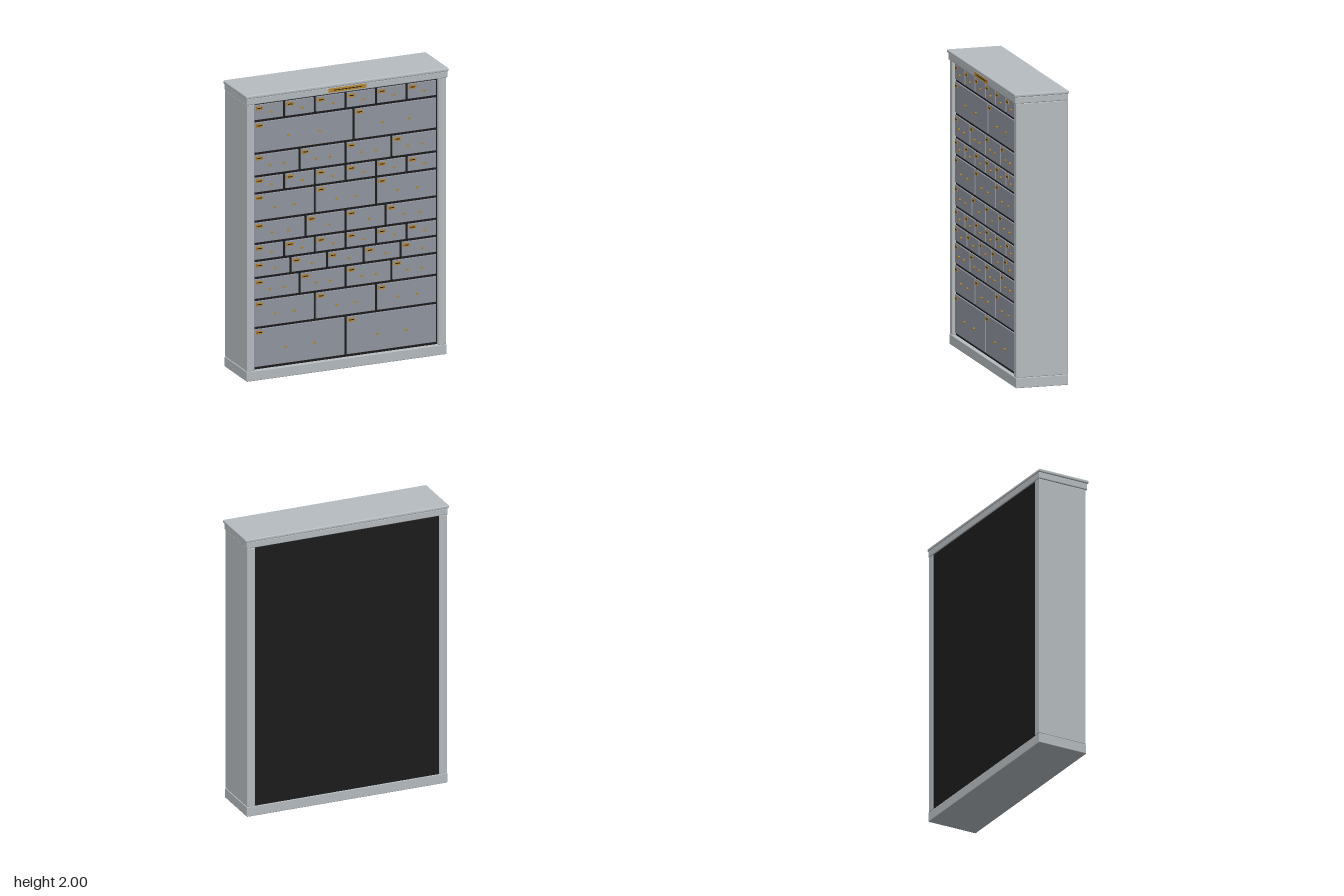
import * as THREE from 'three';
import { RoundedBoxGeometry } from 'three/addons/geometries/RoundedBoxGeometry.js';

const paint = (name, color) => {
  const m = new THREE.MeshStandardMaterial({ color });
  m.name = name;
  return m;
};

export function createModel() {
  const grey = paint('pale grey paint', 0xb6bcc0);
  const slate = paint('slate drawer paint', 0x9195a0);
  const black = paint('black carcass', 0x1c1c1c);
  const brass = paint('brass', 0xb8862e);

  const model = new THREE.Group();
  model.name = 'drawerCabinet';

  // Box given by its limits on each axis; r rounds the edges
  function block(parent, name, mat, [x0, x1], [y0, y1], [z0, z1], r = 0) {
    const size = [x1 - x0, y1 - y0, z1 - z0];
    const geo = r ? new RoundedBoxGeometry(...size, 2, r) : new THREE.BoxGeometry(...size);
    const mesh = new THREE.Mesh(geo, mat);
    mesh.name = name;
    mesh.position.set((x0 + x1) / 2, (y0 + y1) / 2, (z0 + z1) / 2);
    parent.add(mesh);
    return mesh;
  }

  // Case: plinth, side panels, cornice, dark interior with back panel
  const W = 0.667, BACK = -0.186, FRONT = 0.175;
  block(model, 'plinth', grey, [-0.727, 0.727], [0, 0.07], [BACK, FRONT + 0.002], 0.005);
  block(model, 'leftSide', grey, [W, 0.724], [0.07, 1.932], [BACK, FRONT], 0.005);
  block(model, 'rightSide', grey, [-0.724, -W], [0.07, 1.932], [BACK, FRONT], 0.005);
  block(model, 'corniceBand', grey, [-0.729, 0.729], [1.932, 1.98], [-0.187, 0.184], 0.007);
  block(model, 'corniceTop', grey, [-0.737, 0.737], [1.977, 2], [-0.19, 0.19], 0.008);
  block(model, 'carcass', black, [-W - 0.005, W + 0.005], [0.06, 1.94], [-0.181, 0.148]);

  // Brass plate on the cornice, with a dark inset
  block(model, 'cornicePlate', brass, [-0.138, 0.138], [1.944, 1.971], [0.182, 0.188]);
  block(model, 'cornicePlateInset', black, [-0.1, 0.1], [1.955, 1.96], [0.187, 0.189]);

  // Drawer rows from top to bottom: upper edge and the dividers between the sides
  const equal = n => Array.from({ length: n + 1 }, (_, i) => -W + (2 * W * i) / n);
  const rows = [
    [1.926, equal(6)],
    [1.804, [-W, 0.058, W]],
    [1.577, equal(4)],
    [1.418, equal(6)],
    [1.299, equal(3)],
    [1.103, [-W, -0.291, 0, 0.291, W]],
    [0.947, equal(6)],
    [0.828, equal(5)],
    [0.709, equal(4)],
    [0.556, equal(3)],
    [0.36, equal(2)],
  ];
  const BOTTOM = 0.08, GAP = 0.009, FACE = 0.158;
  const knobGeo = new THREE.CylinderGeometry(0.008, 0.006, 0.014, 12).rotateX(Math.PI / 2);

  function drawer(x0, x1, y0, y1) {
    const g = new THREE.Group();
    g.name = 'drawer';
    const w = x1 - x0, cx = (x0 + x1) / 2, cy = (y0 + y1) / 2 - 0.05 * (y1 - y0);
    block(g, 'drawerFront', slate, [x0 + GAP, x1 - GAP], [y0 + GAP, y1 - GAP], [0.13, FACE], 0.002);

    // Label holder in the upper left corner
    const lx = x0 + 0.016, ly = y1 - 0.02;
    block(g, 'labelHolder', brass, [lx, lx + 0.05], [ly - 0.024, ly], [FACE - 0.001, FACE + 0.004]);
    block(g, 'labelSlot', black, [lx + 0.009, lx + 0.041], [ly - 0.015, ly - 0.009],
      [FACE + 0.003, FACE + 0.005]);

    // Wide drawers have two knobs, narrow ones a single knob
    const offsets = w > 0.31 ? [-0.157, 0.157] : [0.07];
    for (const o of offsets) {
      const knob = new THREE.Mesh(knobGeo, brass);
      knob.name = 'knob';
      knob.position.set(cx + o * w, cy, FACE + 0.006);
      g.add(knob);
    }
    model.add(g);
  }

  rows.forEach(([top, xs], i) => {
    const low = i + 1 < rows.length ? rows[i + 1][0] : BOTTOM;
    for (let k = 0; k + 1 < xs.length; k++) drawer(xs[k], xs[k + 1], low, top);
  });

  return model;
}
